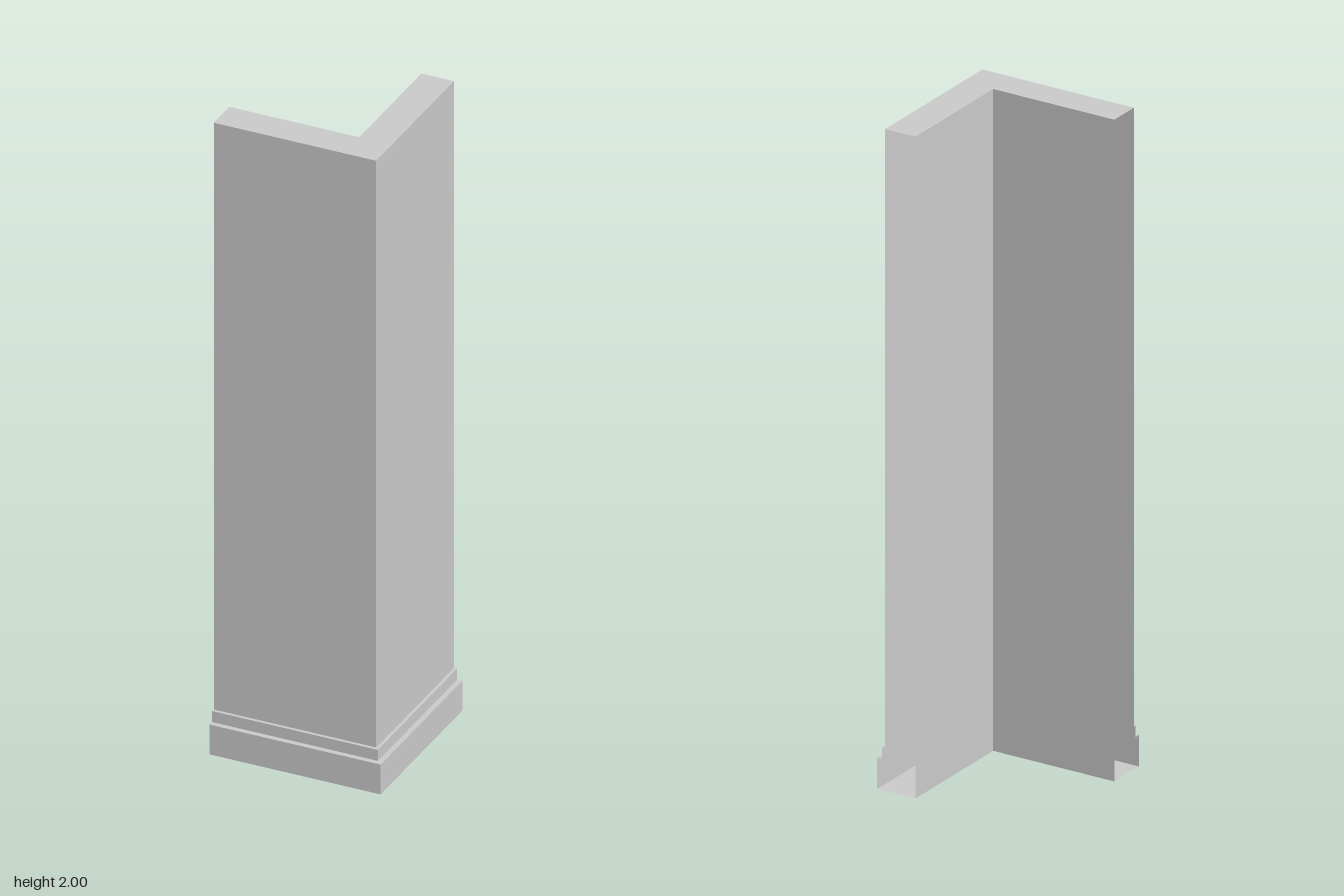
import * as THREE from 'three';

const END = -0.263; // where both wings stop, with open ends
const material = new THREE.MeshStandardMaterial({ color: 0xcccccc, side: THREE.DoubleSide });

// Sweeps a profile of [offset, height] points around the mitred corner.
function cornerSweep(name, profile) {
  const station = ([d, y]) => [[END, y, d], [d, y, d], [d, y, END]];
  const positions = [];
  for (let i = 0; i < profile.length - 1; i++) {
    const a = station(profile[i]);
    const b = station(profile[i + 1]);
    for (let s = 0; s < 2; s++) {
      positions.push(...a[s], ...a[s + 1], ...b[s + 1], ...a[s], ...b[s + 1], ...b[s]);
    }
  }
  const geometry = new THREE.BufferGeometry();
  geometry.setAttribute('position', new THREE.Float32BufferAttribute(positions, 3));
  geometry.computeVertexNormals();
  const mesh = new THREE.Mesh(geometry, material);
  mesh.name = name;
  return mesh;
}

export function createModel() {
  const inner = 0.137, wall = 0.237, trim = 0.247, base = 0.263;
  const baseTop = 0.095, trimTop = 0.13, height = 2;

  const group = new THREE.Group();
  group.name = 'cornerWall';
  group.add(
    // Underside, skirting face and its ledge
    cornerSweep('skirtingBoard', [[inner, 0], [base, 0], [base, baseTop], [trim, baseTop]]),
    // Thin step above the skirting
    cornerSweep('skirtingTrim', [[trim, baseTop], [trim, trimTop], [wall, trimTop]]),
    // Outer face, top and inner face
    cornerSweep('wallPanel', [[wall, trimTop], [wall, height], [inner, height], [inner, 0]]),
  );
  return group;
}
